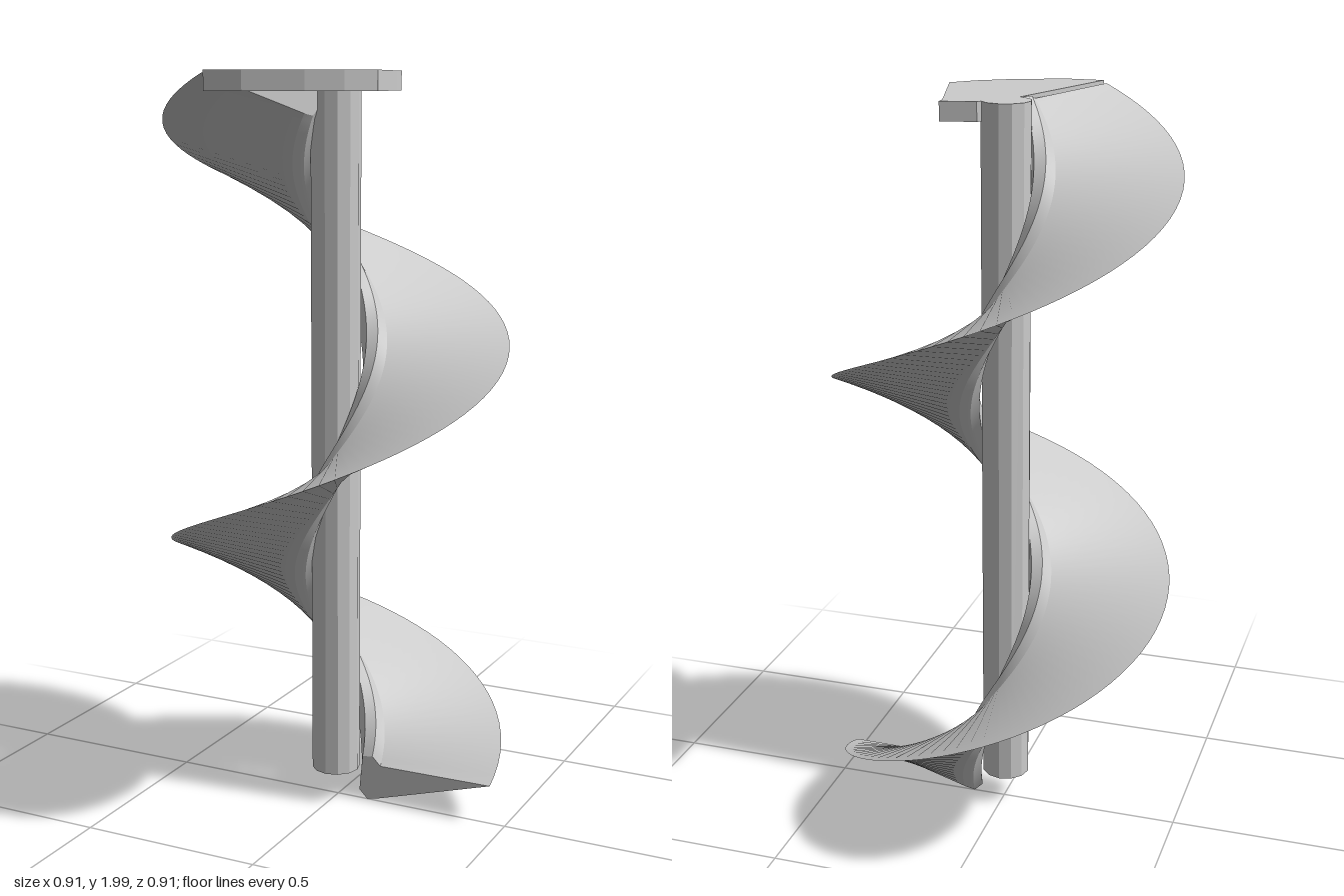
import * as THREE from 'three';

const PITCH = 1.11;                      // rise per full turn
const TURN = THREE.MathUtils.degToRad(610);
const STEPS = 122;

// Wedge-shaped slide section as (radius, height), counter-clockwise
const SECTION = [
  [0.455, 0.113], [0.13, 0.11], [0.105, 0.135], [0.075, 0.13],
  [0.066, 0.03], [0.09, 0.006], [0.12, 0.012],
].map(([r, y]) => new THREE.Vector2(r, y));

const sweep = (p, t) => [
  p.x * Math.cos(t),
  Math.min(2, p.y + (PITCH * t) / (2 * Math.PI)),
  -p.x * Math.sin(t),
];

// One smooth helical strip between two neighbouring section points
function helixStrip(a, b) {
  const pos = [], index = [];
  for (let i = 0; i <= STEPS; i++) {
    const t = (TURN * i) / STEPS;
    pos.push(...sweep(a, t), ...sweep(b, t));
    if (i < STEPS) {
      const k = i * 2;
      index.push(k, k + 2, k + 1, k + 1, k + 2, k + 3);
    }
  }
  return makeGeometry(pos, index);
}

// Flat end of the slide at angle t
function endCap(t, flip) {
  const index = THREE.ShapeUtils.triangulateShape(SECTION, [])
    .flatMap(([a, b, c]) => (flip ? [a, c, b] : [a, b, c]));
  return makeGeometry(SECTION.flatMap((p) => sweep(p, t)), index);
}

function makeGeometry(pos, index) {
  const g = new THREE.BufferGeometry();
  g.setAttribute('position', new THREE.Float32BufferAttribute(pos, 3));
  g.setIndex(index);
  g.computeVertexNormals();
  return g;
}

export function createModel() {
  const model = new THREE.Group();
  model.name = 'spiralSlide';
  const smooth = new THREE.MeshStandardMaterial({ color: 0xcccccc });
  const flat = new THREE.MeshStandardMaterial({ color: 0xcccccc, flatShading: true });

  const add = (parent, name, geometry, material) => {
    const mesh = new THREE.Mesh(geometry, material);
    mesh.name = name;
    parent.add(mesh);
    return mesh;
  };

  // Central faceted pole
  const pole = add(model, 'pole', new THREE.CylinderGeometry(0.066, 0.066, 1.908, 12), flat);
  pole.position.set(-0.002, 1.046, 0.01);

  // Helical chute: one strip per section edge, closed at both ends
  const chute = new THREE.Group();
  chute.name = 'chute';
  model.add(chute);
  const names = ['slidingSurface', 'lipRise', 'lipTop', 'innerWall', 'innerBevel', 'innerFoot', 'underside'];
  SECTION.forEach((p, i) =>
    add(chute, names[i], helixStrip(p, SECTION[(i + 1) % SECTION.length]), smooth));
  add(chute, 'lowerEnd', endCap(0, false), flat);
  add(chute, 'upperEnd', endCap(TURN, true), flat);

  // Top platform, outlined in (x, z)
  const outline = [
    [-0.02, 0.075], [-0.145, 0.44], [-0.04, 0.44], [0.1, 0.385], [0.18, 0.335],
    [0.24, 0.275], [0.155, -0.025], [0.153, -0.058], [0.06, -0.038],
  ].map(([x, z]) => new THREE.Vector2(x, -z));
  const deck = new THREE.ExtrudeGeometry(new THREE.Shape(outline), { depth: 0.05, bevelEnabled: false });
  deck.rotateX(-Math.PI / 2);
  add(model, 'platform', deck, flat).position.y = 1.95;

  return model;
}
